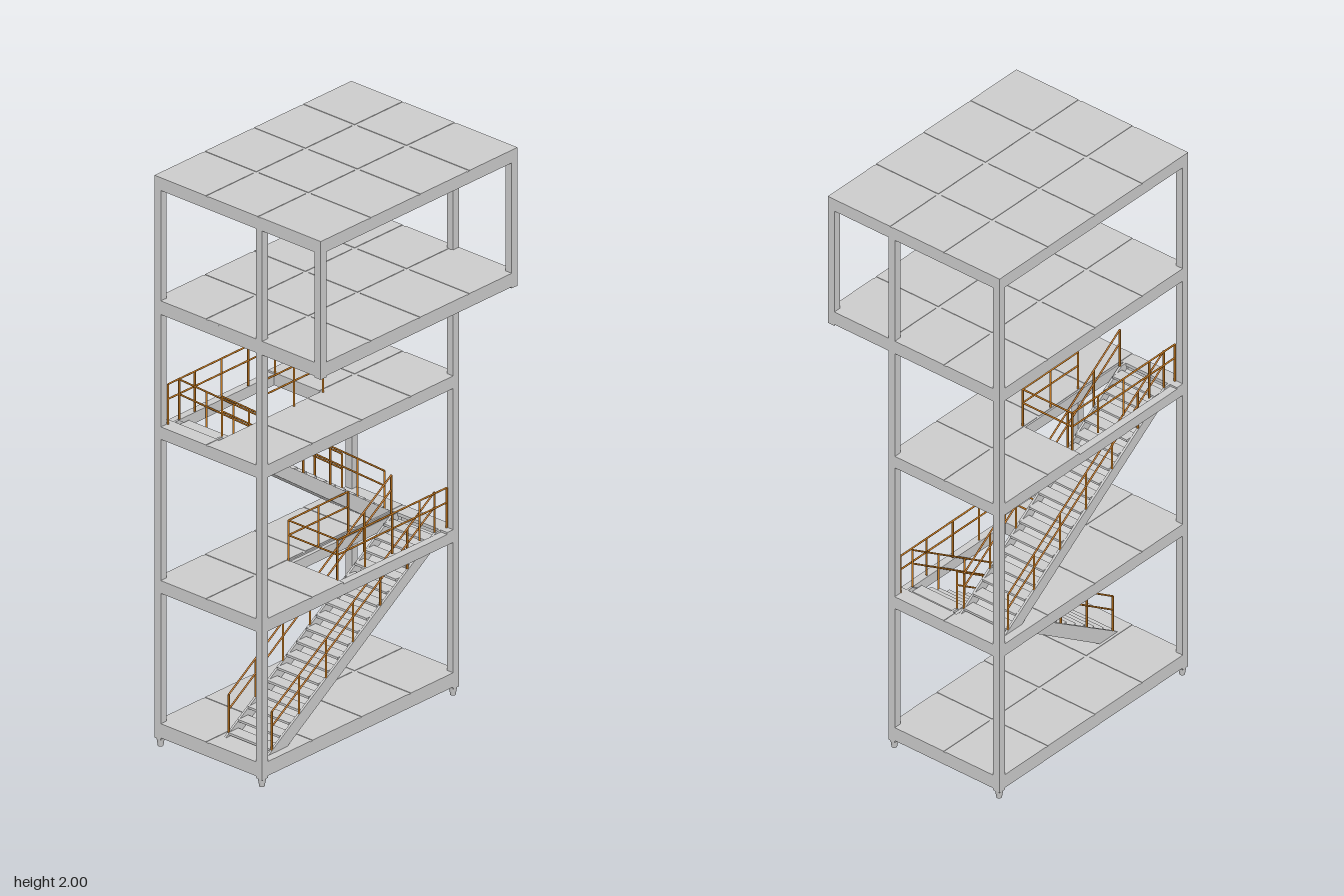
import * as THREE from 'three';

const grey = new THREE.MeshStandardMaterial({ color: 0xcccccc });
const orange = new THREE.MeshStandardMaterial({ color: 0xc87a1e });
const L = -0.355, M = 0.105, R = 0.355, Z = 0.46, T = 0.027; // frame edges and bar width
const SPLIT = -0.13;                                         // line between the two bays
const SEAMS = [-0.23, 0, 0.23];                              // panel joints along z

// box from min / max corners
function box(parent, name, x0, x1, y0, y1, z0, z1) {
  const m = new THREE.Mesh(new THREE.BoxGeometry(x1 - x0, y1 - y0, z1 - z0), grey);
  m.position.set((x0 + x1) / 2, (y0 + y1) / 2, (z0 + z1) / 2);
  m.name = name;
  parent.add(m);
}

// thin round bar between two points
function bar(parent, name, a, b, r = 0.003) {
  const d = b.clone().sub(a);
  const m = new THREE.Mesh(new THREE.CylinderGeometry(r, r, d.length(), 8), orange);
  m.position.copy(a).add(b).multiplyScalar(0.5);
  m.quaternion.setFromUnitVectors(new THREE.Vector3(0, 1, 0), d.normalize());
  m.name = name;
  parent.add(m);
}

// straight guard rail: posts, middle rail and top rail
function railing(parent, a, b, posts) {
  const g = new THREE.Group();
  g.name = 'railing';
  const A = new THREE.Vector3(...a), B = new THREE.Vector3(...b);
  const up = (v, h) => v.clone().setY(v.y + h);
  for (let i = 0; i <= posts; i++) {
    const p = A.clone().lerp(B, i / posts);
    bar(g, 'post', p, up(p, 0.14), 0.0035);
  }
  for (const h of [0.088, 0.14]) bar(g, 'rail', up(A, h), up(B, h));
  parent.add(g);
}

// strip of floor panels with shallow joints over a thinner core
function panels(parent, x0, x1, y, z0, z1) {
  const zs = [z0, ...SEAMS.filter(s => s > z0 + 0.02 && s < z1 - 0.02), z1];
  const j = 0.006;
  box(parent, 'floorCore', x0, x1, y - 0.009, y - 0.002, z0, z1);
  for (let i = 0; i + 1 < zs.length; i++) {
    const a = zs[i] + (i ? j : 0), b = zs[i + 1] - (i + 2 < zs.length ? j : 0);
    box(parent, 'floorPanel', x0 + (x0 > L + 0.03 ? j : 0), x1 - (x1 < R - 0.03 && x1 !== M ? j : 0),
      y - 0.011, y, a, b);
  }
}

// ring of edge beams plus optional inner beams along z
function deckFrame(parent, x1, y0, y1, inner = []) {
  for (const s of [-1, 1]) {
    const z = s * (Z - T / 2);
    box(parent, 'endBeam', L, x1, y0, y1, z - T / 2, z + T / 2);
  }
  for (const x of [L + T / 2, x1 - T / 2, ...inner])
    box(parent, 'sideBeam', x - T / 2, x + T / 2, y0, y1, -Z + T, Z - T);
}

// stair rising along -z from y0 to y1; dir -1 makes it rise along +z
function stair(x0, x1, y0, y1, dir) {
  const g = new THREE.Group();
  g.name = 'stair';
  const zs = 0.385, ze = -0.385, k = (y1 - y0) / (zs - ze), d = 0.048;
  const side = new THREE.Shape([
    [0.4, y0], [zs, y0 + 0.01], [ze, y1], [-0.41, y1], [-0.41, y1 - d + 0.018], [zs - d / k, y0],
  ].map(([z, y]) => new THREE.Vector2(dir * z, y)));
  const under = new THREE.Shape([
    [zs - d / k + 0.012, y0], [-0.41, y1 - d + 0.025], [-0.41, y1 - d + 0.018], [zs - d / k, y0],
  ].map(([z, y]) => new THREE.Vector2(dir * z, y)));
  const slice = (name, shape, a, b) => {
    const m = new THREE.Mesh(new THREE.ExtrudeGeometry(shape, { depth: b - a, bevelEnabled: false }), grey);
    m.rotation.y = -Math.PI / 2; // shape x runs along z, extrusion along -x
    m.position.x = b;
    m.name = name;
    g.add(m);
  };
  slice('stringer', side, x0, x0 + 0.008);
  slice('stringer', side, x1 - 0.008, x1);
  slice('underside', under, x0 + 0.008, x1 - 0.008);
  // treads
  const n = 17, run = (zs - ze) / n;
  for (let i = 0; i < n; i++) {
    const z = dir * (zs - run * (i + 0.5)), y = y0 + (y1 - y0) * (i + 0.5) / n;
    box(g, 'tread', x0 + 0.008, x1 - 0.008, y - 0.008, y, z - run * 0.5, z + run * 0.5);
  }
  // sloping rails on both sides
  for (const x of [x0 + 0.004, x1 - 0.004])
    railing(g, [x, y0 + 0.005, dir * 0.38], [x, y1, dir * -0.38], 6);
  return g;
}

export function createModel() {
  const model = new THREE.Group();

  // columns and feet
  const columns = new THREE.Group();
  columns.name = 'columns';
  for (const s of [-1, 1]) {
    const z = s * (Z - T / 2);
    for (const x of [L + T / 2, M - T / 2]) {
      box(columns, 'column', x - T / 2, x + T / 2, 0.028, 1.99, z - T / 2, z + T / 2);
      const foot = new THREE.Mesh(new THREE.CylinderGeometry(0.0135, 0.009, 0.028, 12), grey);
      foot.position.set(x, 0.014, z);
      foot.name = 'foot';
      columns.add(foot);
    }
    box(columns, 'overhangColumn', R - T, R, 1.515, 1.99, z - T / 2, z + T / 2);
  }
  model.add(columns);

  const deck = (name) => {
    const g = new THREE.Group();
    g.name = name;
    model.add(g);
    return g;
  };

  // ground deck
  const ground = deck('groundDeck');
  deckFrame(ground, M, 0.035, 0.08);
  panels(ground, L, SPLIT, 0.085, -Z, Z);
  panels(ground, SPLIT, M, 0.085, -Z, Z);

  // second deck, open above the lower stair
  const second = deck('secondDeck');
  deckFrame(second, M, 0.542, 0.58, [SPLIT]);
  panels(second, L, SPLIT, 0.587, -Z, Z);
  panels(second, SPLIT, M, 0.587, 0.08, Z);
  panels(second, SPLIT, M, 0.587, -Z, -0.405);
  box(second, 'openingBeam', SPLIT, M - T, 0.542, 0.578, 0.08, 0.08 + T);
  railing(second, [SPLIT, 0.587, 0.08], [0.08, 0.587, 0.08], 1);
  railing(second, [0.08, 0.587, 0.08], [0.08, 0.587, -0.43], 4);
  railing(second, [SPLIT, 0.587, 0.08], [SPLIT, 0.587, -0.2], 2);

  // third deck, open above the upper stair
  const third = deck('thirdDeck');
  deckFrame(third, M, 1.082, 1.12, [SPLIT + T / 2]);
  panels(third, SPLIT, M, 1.126, -Z, Z);
  panels(third, L, SPLIT, 1.126, -Z, -0.07);
  panels(third, L, SPLIT, 1.126, 0.405, Z);
  box(third, 'openingBeam', L + T, SPLIT, 1.082, 1.118, -0.07 - T, -0.07);
  railing(third, [-0.325, 1.126, -0.07], [-0.12, 1.126, -0.07], 1);
  railing(third, [-0.325, 1.126, -0.07], [-0.325, 1.126, 0.43], 4);
  railing(third, [-0.12, 1.126, -0.07], [-0.12, 1.126, 0.2], 2);

  // overhanging top room: floor and roof
  for (const [name, y0, y1] of [['topDeck', 1.52, 1.568], ['roof', 1.955, 2]]) {
    const g = deck(name);
    deckFrame(g, R, y0, y1 - 0.006, [M - T / 2]);
    panels(g, L, SPLIT, y1, -Z, Z);
    panels(g, SPLIT, 0.092, y1, -Z, Z);
    panels(g, 0.092, R, y1, -Z, Z);
  }

  // stairs
  const lower = stair(-0.115, 0.077, 0.085, 0.587, 1);
  lower.name = 'lowerStair';
  const upper = stair(-0.326, -0.136, 0.587, 1.126, -1);
  upper.name = 'upperStair';
  model.add(lower, upper);
  return model;
}
